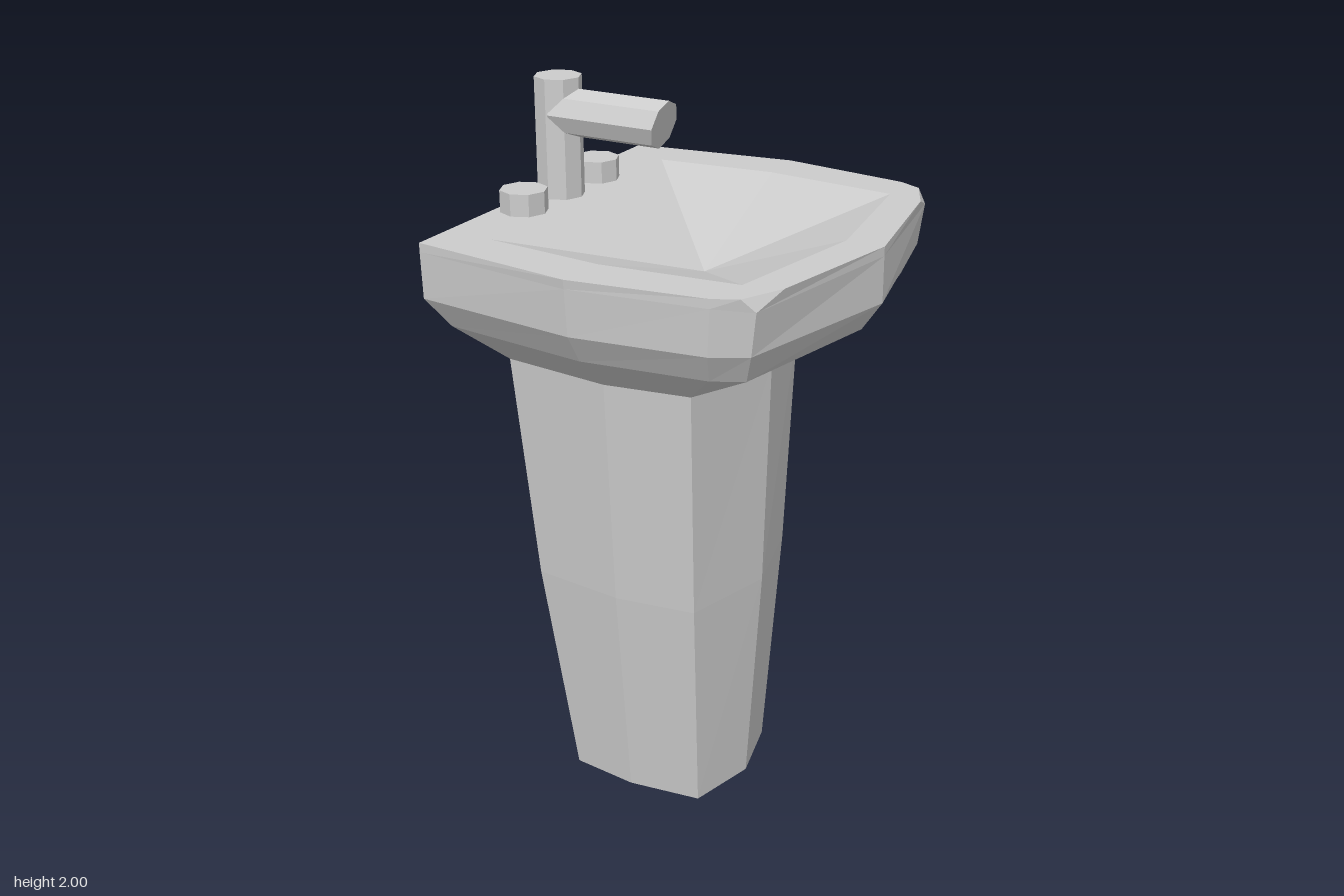
import * as THREE from 'three';

const material = new THREE.MeshStandardMaterial({ color: 0xcccccc, flatShading: true });

// Half outline [x, z] from back centre to front centre, mirrored into a closed ring.
// y is one height, or a list of heights per point.
function ring(y, half) {
  const pts = half.map(([x, z], i) => new THREE.Vector3(x, Array.isArray(y) ? y[i] : y, z));
  const mirrored = pts.slice(1, -1).reverse().map((p) => new THREE.Vector3(p.x, p.y, -p.z));
  return [...pts, ...mirrored];
}

// Skin a stack of rings with flat faces, skipping collapsed triangles.
function loft(rings) {
  const out = [];
  const tri = (a, b, c) => {
    const area = b.clone().sub(a).cross(c.clone().sub(a)).length();
    if (area > 1e-7) out.push(...a.toArray(), ...b.toArray(), ...c.toArray());
  };
  for (let r = 0; r < rings.length - 1; r++) {
    const a = rings[r], b = rings[r + 1], n = a.length;
    for (let i = 0; i < n; i++) {
      const j = (i + 1) % n;
      tri(a[i], a[j], b[j]);
      tri(a[i], b[j], b[i]);
    }
  }
  const geometry = new THREE.BufferGeometry();
  geometry.setAttribute('position', new THREE.Float32BufferAttribute(out, 3));
  geometry.computeVertexNormals();
  return geometry;
}

function add(parent, name, geometry, x = 0, y = 0, z = 0) {
  const mesh = new THREE.Mesh(geometry, material);
  mesh.name = name;
  mesh.position.set(x, y, z);
  parent.add(mesh);
  return mesh;
}

export function createModel() {
  const model = new THREE.Group();
  model.name = 'pedestalSink';

  // Tapered pedestal with a flat back and a pointed front
  const foot = [[-0.315, 0], [-0.315, 0.2], [-0.12, 0.225], [0.09, 0.2], [0.14, 0]];
  add(model, 'pedestal', loft([
    ring(0, foot.map(() => [-0.1, 0])),
    ring(0, foot),
    ring(0.65, [[-0.38, 0], [-0.38, 0.265], [-0.115, 0.295], [0.115, 0.265], [0.185, 0]]),
    ring(1.3, [[-0.425, 0], [-0.425, 0.305], [-0.11, 0.34], [0.13, 0.305], [0.205, 0]]),
  ]));

  // Basin: flaring underside, upright rim, flat deck and a faceted bowl
  const top = 1.675;
  const inner = [[-0.37, 0], [-0.38, 0.43], [-0.04, 0.465], [0.34, 0.43], [0.34, 0.43], [0.34, 0.43], [0.41, 0]];
  add(model, 'basin', loft([
    ring(1.3, [[-0.425, 0], [-0.425, 0.305], [-0.11, 0.34], [0.13, 0.305], [0.13, 0.305], [0.13, 0.305], [0.205, 0]]),
    ring(1.445, [[-0.47, 0], [-0.47, 0.49], [-0.05, 0.54], [0.29, 0.5], [0.37, 0.46], [0.37, 0.46], [0.46, 0]]),
    ring(1.525, [[-0.52, 0], [-0.52, 0.535], [-0.05, 0.59], [0.31, 0.545], [0.4, 0.495], [0.4, 0.495], [0.515, 0]]),
    ring([1.65, 1.65, 1.65, 1.65, 1.64, 1.64, 1.65],
      [[-0.52, 0], [-0.52, 0.54], [-0.05, 0.6], [0.32, 0.553], [0.415, 0.5], [0.415, 0.5], [0.515, 0]]),
    ring(top, [[-0.52, 0], [-0.52, 0.54], [-0.05, 0.603], [0.32, 0.553], [0.385, 0.522], [0.44, 0.405], [0.515, 0]]),
    ring(top, inner),
    ring(top - 0.15, inner.map(() => [0, 0])),
  ]));

  // Tap column, two handles and a spout with a slanted mouth
  const tap = new THREE.Group();
  tap.name = 'tap';
  model.add(tap);
  const tapX = -0.445, radius = 0.065;
  add(tap, 'tapColumn', new THREE.CylinderGeometry(radius, radius, 0.33, 8), tapX, 1.835, 0);
  for (const [side, name] of [[1, 'leftHandle'], [-1, 'rightHandle']]) {
    add(tap, name, new THREE.CylinderGeometry(radius, radius, 0.07, 8), tapX, 1.7, side * 0.18);
  }

  const spout = new THREE.CylinderGeometry(radius, radius, 0.32, 8).rotateZ(-Math.PI / 2);
  const p = spout.attributes.position;
  for (let i = 0; i < p.count; i++) {
    if (p.getX(i) > 0) p.setX(i, p.getX(i) + 0.23 * p.getY(i));
  }
  add(tap, 'spout', spout, -0.28, 1.905, 0);

  return model;
}
